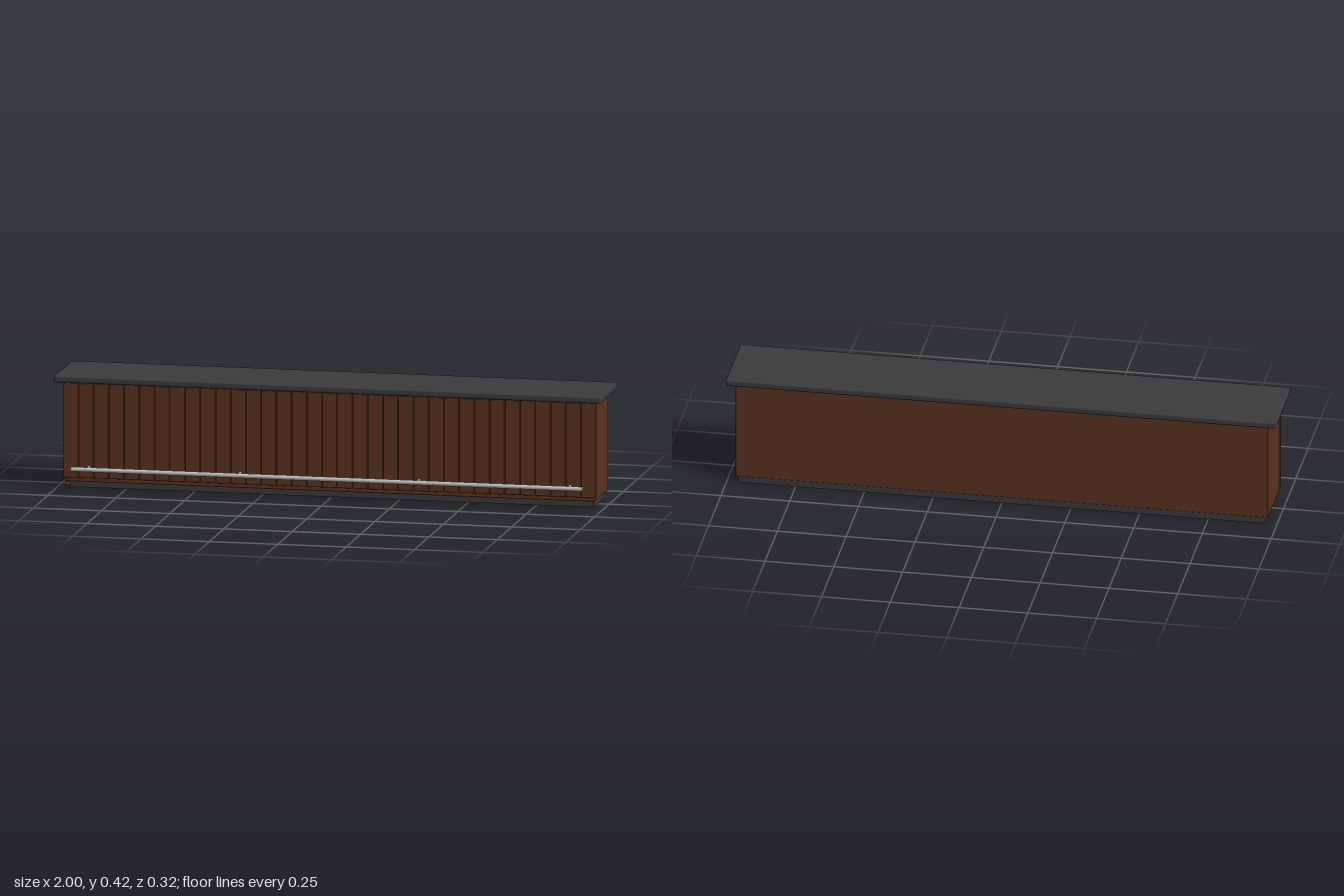
import * as THREE from 'three';
import { RoundedBoxGeometry } from 'three/addons/geometries/RoundedBoxGeometry.js';

const material = (name, color) => {
  const m = new THREE.MeshStandardMaterial({ color });
  m.name = name;
  return m;
};

export function createModel() {
  const group = new THREE.Group();
  group.name = 'barCounter';
  const wood = material('brownWood', 0x5c3421);
  const dark = material('darkStone', 0x3c3c3c);
  const metal = material('brushedMetal', 0xc4c4c4);

  const add = (name, geometry, mat, x, y, z) => {
    const mesh = new THREE.Mesh(geometry, mat);
    mesh.name = name;
    mesh.position.set(x, y, z);
    group.add(mesh);
    return mesh;
  };

  // Recessed base, cabinet and overhanging top
  add('kickBase', new THREE.BoxGeometry(1.914, 0.026, 0.2), dark, 0, 0.013, -0.031);
  add('cabinet', new RoundedBoxGeometry(1.936, 0.367, 0.231, 2, 0.003), wood, 0, 0.2085, -0.0195);
  add('counterTop', new RoundedBoxGeometry(2, 0.025, 0.302, 4, 0.007), dark, 0, 0.4035, -0.007);

  // Row of vertical planks on the front, with narrow gaps
  const count = 35, pitch = 0.0557;
  const plank = new RoundedBoxGeometry(0.0535, 0.344, 0.012, 2, 0.002);
  for (let i = 0; i < count; i++) {
    add('frontPlank', plank, wood, (i - (count - 1) / 2) * pitch, 0.212, 0.098);
  }

  // Foot rail carried on four brackets
  const rail = new THREE.CylinderGeometry(0.0085, 0.0085, 1.87, 16);
  add('footRail', rail, metal, 0, 0.08, 0.152).rotation.z = Math.PI / 2;
  const bracket = new THREE.CylinderGeometry(0.0055, 0.0055, 0.05, 12);
  for (const x of [-0.88, -0.327, 0.327, 0.88]) {
    add('railBracket', bracket, metal, x, 0.08, 0.127).rotation.x = Math.PI / 2;
  }
  return group;
}
